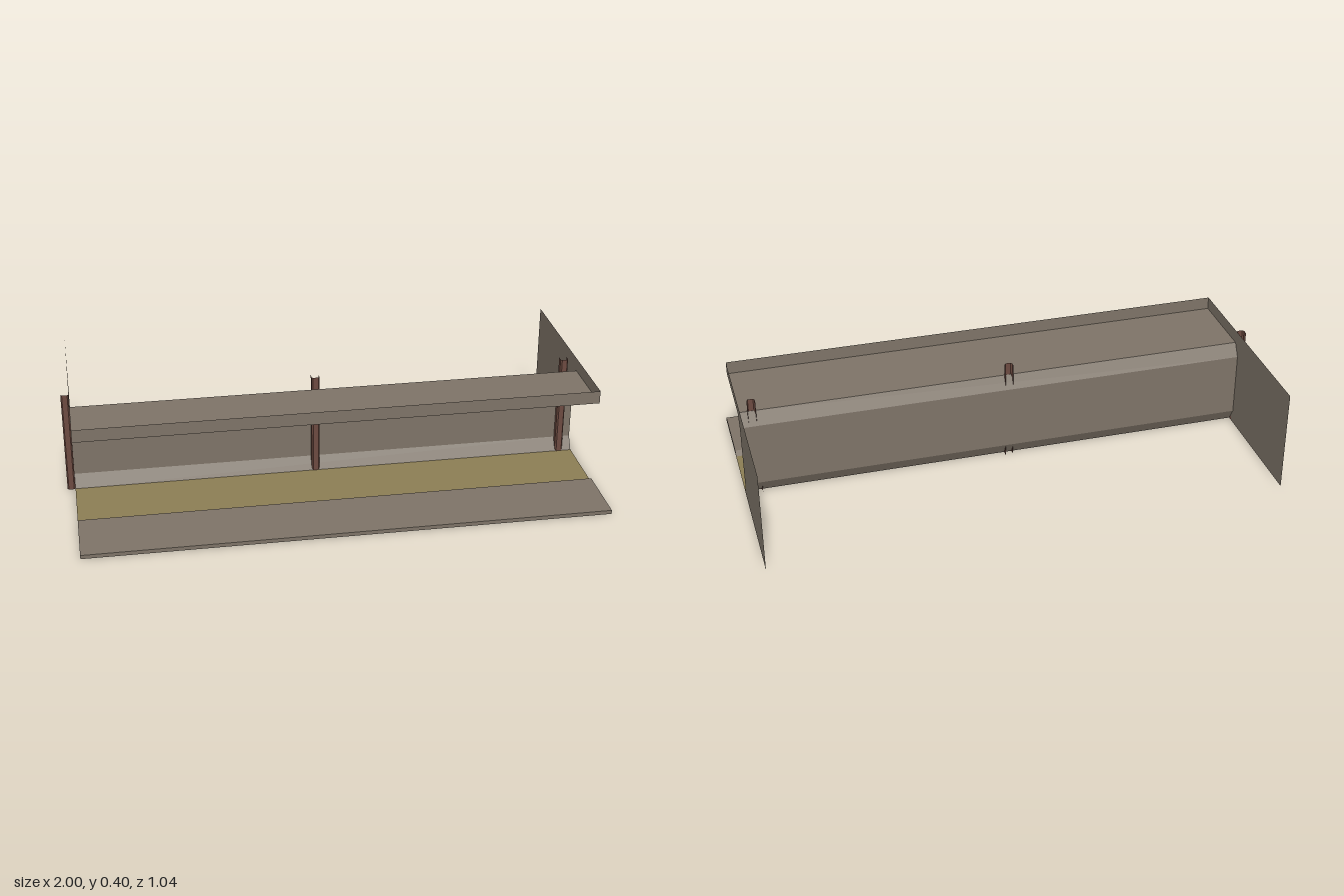
import * as THREE from 'three';

const X0 = -0.97, X1 = 1;

function material(name, color) {
  const m = new THREE.MeshStandardMaterial({ color, side: THREE.DoubleSide });
  m.name = name;
  return m;
}

// Flat-shaded open sheet: a [z, y] profile swept along x
function sweepX(profile) {
  const pos = [];
  for (let i = 0; i < profile.length - 1; i++) {
    const [za, ya] = profile[i], [zb, yb] = profile[i + 1];
    pos.push(X0, ya, za, X1, ya, za, X1, yb, zb);
    pos.push(X0, ya, za, X1, yb, zb, X0, yb, zb);
  }
  return sheet(pos);
}

// Flat-shaded open sheet: an [x, z] profile swept up along y
function sweepY(profile, y0, y1) {
  const pos = [];
  for (let i = 0; i < profile.length - 1; i++) {
    const [xa, za] = profile[i], [xb, zb] = profile[i + 1];
    pos.push(xa, y0, za, xb, y0, zb, xb, y1, zb);
    pos.push(xa, y0, za, xb, y1, zb, xa, y1, za);
  }
  return sheet(pos);
}

function sheet(pos) {
  const g = new THREE.BufferGeometry();
  g.setAttribute('position', new THREE.Float32BufferAttribute(pos, 3));
  g.computeVertexNormals();
  return g;
}

// Flat plate standing across the x axis, outlined in [z, y]
function plate(outline) {
  const shape = new THREE.Shape(outline.map(([z, y]) => new THREE.Vector2(z, y)));
  return new THREE.ShapeGeometry(shape).rotateY(-Math.PI / 2);
}

export function createModel() {
  const group = new THREE.Group();
  const stone = material('greyBrown', 0x7d7367);
  const tan = material('tan', 0x8b7d54);
  const brown = material('reddishBrown', 0x6c4a40);

  function add(name, geometry, mat, x = 0) {
    const mesh = new THREE.Mesh(geometry, mat);
    mesh.name = name;
    mesh.position.x = x;
    group.add(mesh);
  }

  // Back wall with sloped top and bottom, running into the ceiling and its raised lip
  const wall = [[-0.005, 0], [-0.035, 0.05], [-0.035, 0.3], [-0.005, 0.35]];
  add('backWall', sweepX(wall), stone);
  add('ceiling', sweepX([[-0.005, 0.35], [0.29, 0.35]]), stone);
  add('ceilingLip', sweepX([[0.29, 0.35], [0.29, 0.4]]), stone);

  // Floor strip and raised platform with a sloped inner edge
  add('floor', sweepX([[-0.005, 0.001], [0.243, 0.001]]), tan);
  const platform = [[0.243, 0], [0.265, 0.015], [0.518, 0.015], [0.518, 0]];
  add('platform', sweepX(platform), stone);

  // End panels follow the outside of the wall and close the ceiling trough
  const panel = [[0.29, 0.35], [0.29, 0.4], [-0.518, 0.4], [-0.518, 0], ...wall];
  for (const x of [X0, X1]) {
    add('endPanel', plate(panel), stone, x);
    add('platformEnd', plate(platform), stone, x);
  }

  // Open channel columns with bevelled front corners
  const channel = [[-0.015, -0.03], [-0.015, -0.011], [-0.01, -0.004],
    [0.01, -0.004], [0.015, -0.011], [0.015, -0.03]];
  for (const x of [-0.985, -0.035, 0.95]) add('column', sweepY(channel, 0, 0.4), brown, x);

  return group;
}
